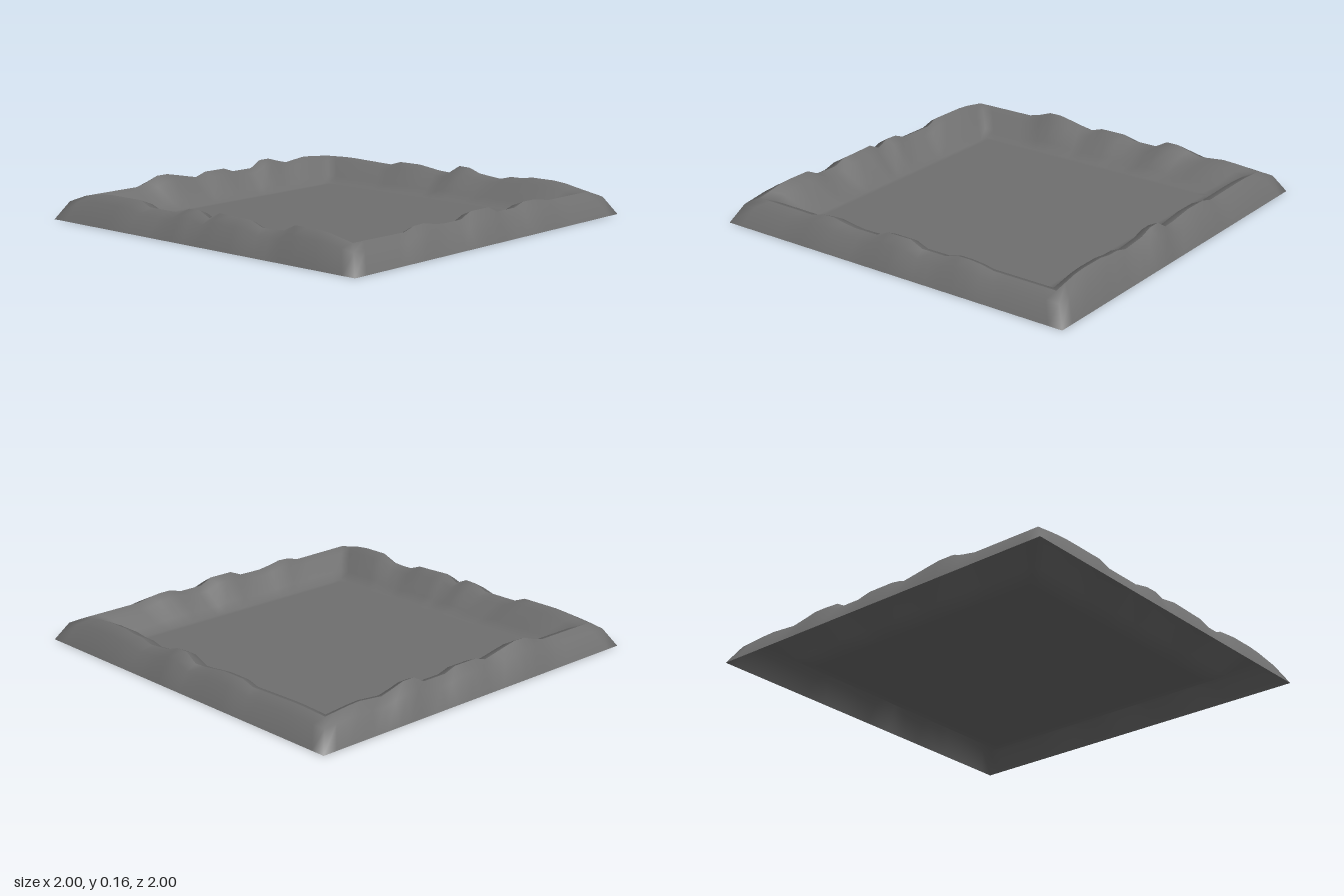
import * as THREE from 'three';

const SEG = 26; // segments per side
const LOW = 0.117; // lowest rim height

// Rim height along each side as [position, height]; position is x or z
const FRONT = [[-0.89, LOW], [-0.82, 0.13], [-0.72, 0.145], [-0.47, 0.145], [-0.41, 0.118], [-0.2, 0.118],
  [-0.13, 0.148], [-0.07, 0.148], [0, LOW], [0.07, 0.15], [0.13, 0.15], [0.18, 0.13], [0.2, 0.145],
  [0.27, 0.145], [0.34, 0.118], [0.47, 0.118], [0.54, 0.155], [0.72, 0.155], [0.89, 0.122]];
const BACK = [[-0.89, LOW], [-0.72, 0.125], [-0.41, LOW], [-0.34, 0.138], [-0.18, 0.138], [-0.1, 0.122],
  [0, LOW], [0.07, 0.16], [0.13, 0.16], [0.2, 0.135], [0.34, 0.12], [0.4, 0.138], [0.47, 0.138],
  [0.54, 0.15], [0.72, 0.15], [0.89, LOW]];
const RIGHT = [[-0.89, LOW], [-0.54, 0.118], [-0.45, 0.138], [-0.34, 0.138], [-0.28, 0.118], [-0.13, 0.118],
  [-0.07, 0.148], [0.07, 0.148], [0.14, 0.118], [0.3, 0.118], [0.4, 0.14], [0.47, 0.14], [0.54, 0.118], [0.89, 0.122]];
const LEFT = [[-0.89, LOW], [-0.7, 0.135], [-0.54, 0.118], [-0.47, 0.138], [-0.41, 0.155], [-0.34, 0.155],
  [-0.28, 0.118], [-0.13, 0.118], [-0.07, 0.14], [0.07, 0.14], [0.14, 0.118], [0.23, 0.138],
  [0.34, 0.16], [0.41, 0.16], [0.47, 0.138], [0.54, 0.118], [0.89, LOW]];

function heightAt(points, p) {
  for (let i = 1; i < points.length; i++) {
    const [p0, h0] = points[i - 1], [p1, h1] = points[i];
    if (p <= p1) return h0 + (h1 - h0) * Math.max(0, (p - p0) / (p1 - p0));
  }
  return points[points.length - 1][1];
}

// One lap of the square: unit position and rim height, counterclockwise from above
function squareLoop() {
  const sides = [
    [FRONT, t => [t, 1], 1], [RIGHT, t => [1, -t], -1],
    [BACK, t => [-t, -1], -1], [LEFT, t => [-1, t], 1],
  ];
  const loop = [];
  for (const [points, place, sign] of sides) {
    for (let i = 0; i < SEG; i++) {
      const t = -1 + 2 * i / SEG;
      const [x, z] = place(t);
      loop.push({ x, z, h: heightAt(points, sign * t * 0.89) });
    }
  }
  return loop;
}

// Joins square rings, given from outside in as [half width, share of rim height]
function ringSurface(rings, closed) {
  const loop = squareLoop(), n = loop.length, pos = [], index = [];
  for (const [r, k] of rings) for (const p of loop) pos.push(p.x * r, p.h * k, p.z * r);
  for (let j = 0; j < rings.length - 1; j++) {
    for (let i = 0; i < n; i++) {
      const a = j * n + i, b = j * n + (i + 1) % n;
      index.push(a, b, b + n, a, b + n, a + n);
    }
  }
  if (closed) {
    const base = (rings.length - 1) * n;
    pos.push(0, 0, 0);
    for (let i = 0; i < n; i++) index.push(base + i, base + (i + 1) % n, rings.length * n);
  }
  const geo = new THREE.BufferGeometry();
  geo.setAttribute('position', new THREE.Float32BufferAttribute(pos, 3));
  geo.setIndex(index);
  geo.computeVertexNormals();
  return geo;
}

export function createModel() {
  const group = new THREE.Group();
  group.name = 'squareEmbankment';
  const material = new THREE.MeshStandardMaterial({ color: 0x6f6f6f, side: THREE.DoubleSide });
  const add = (name, geo) => {
    const mesh = new THREE.Mesh(geo, material);
    mesh.name = name;
    group.add(mesh);
  };
  // Outer bank, rising to the uneven crest
  add('outerBank', ringSurface([[1, 0], [0.945, 0.77], [0.89, 1]], false));
  // Inner bank, falling to the flat floor
  add('innerBasin', ringSurface([[0.89, 1], [0.84, 0.84], [0.77, 0.25], [0.72, 0], [0.69, 0]], true));
  return group;
}
